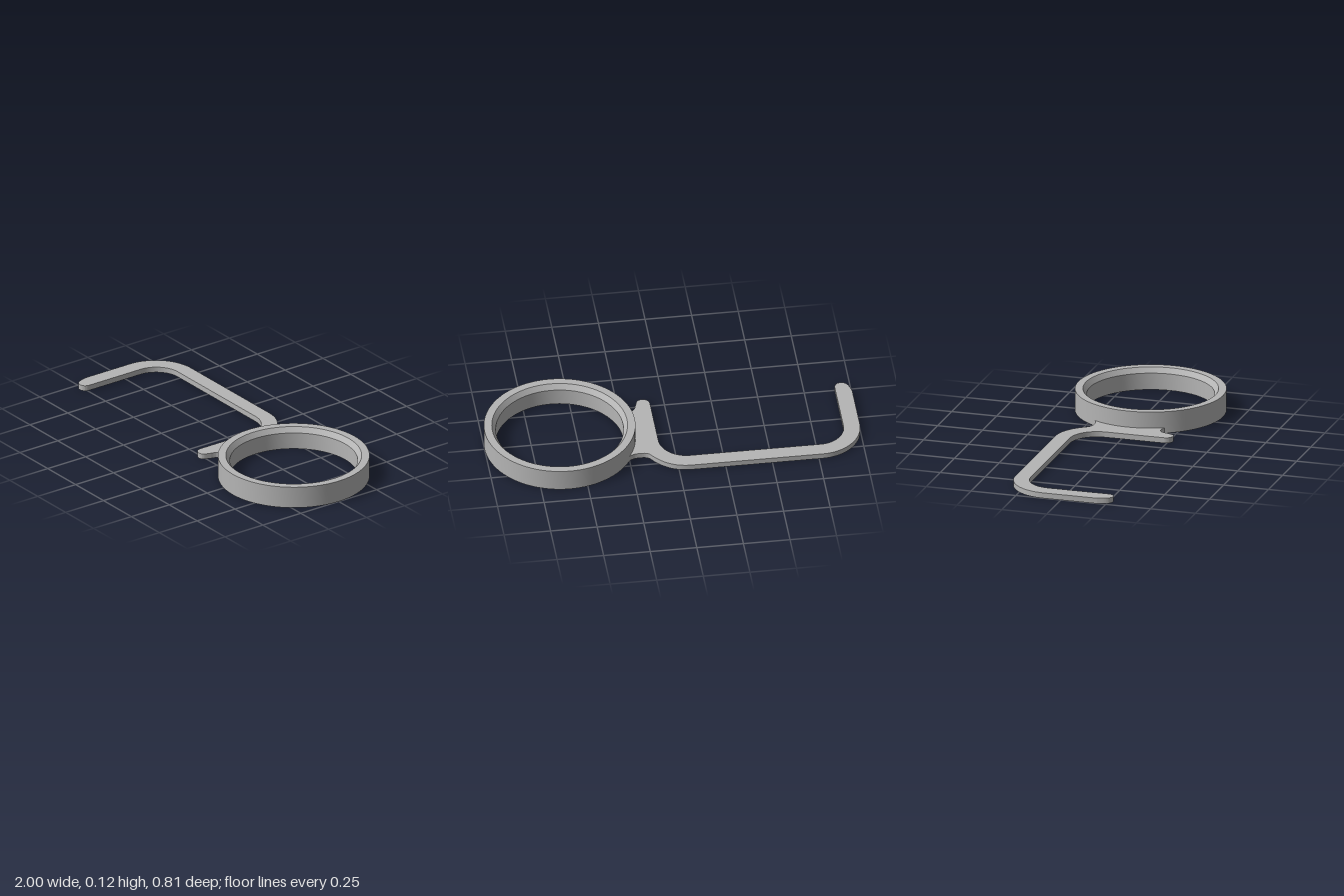
import * as THREE from 'three';
import { toCreasedNormals } from 'three/addons/utils/BufferGeometryUtils.js';

const RING_X = 0.597, RING_R = 0.403, RING_H = 0.12, PLATE_H = 0.03;

// Ring with a bevelled inner lip at the top
function ringGeometry() {
  const profile = [
    [RING_R, 0], [RING_R, RING_H], [0.361, RING_H], [0.34, 0.092], [0.34, 0], [RING_R, 0],
  ].map(([r, y]) => new THREE.Vector2(r, y));
  return toCreasedNormals(new THREE.LatheGeometry(profile, 96), 0.4);
}

// Flat bent arm: outline drawn with y pointing to the back
function armGeometry() {
  const s = new THREE.Shape();
  s.moveTo(-1, -0.2);
  s.lineTo(-1, 0.095);
  s.absarc(-0.77, 0.095, 0.23, Math.PI, Math.PI / 2, true);
  s.lineTo(-0.07, 0.325);
  // shoulder, then fillet into the ring
  s.bezierCurveTo(0.03, 0.325, 0.09, 0.275, 0.135, 0.21);
  s.bezierCurveTo(0.15, 0.185, 0.18, 0.188, 0.2, 0.188);
  s.quadraticCurveTo(0.23, 0.188, 0.25, 0.205);
  // edge hidden inside the ring wall
  const a = Math.asin(0.2 / 0.385);
  s.absarc(RING_X, 0, 0.385, Math.PI - a, Math.PI + a, false);
  // lower fillet and short finger
  s.quadraticCurveTo(0.23, -0.18, 0.205, -0.18);
  s.bezierCurveTo(0.17, -0.18, 0.165, -0.205, 0.16, -0.225);
  s.bezierCurveTo(0.15, -0.25, 0.15, -0.275, 0.12, -0.275);
  s.bezierCurveTo(0.09, -0.275, 0.08, -0.25, 0.08, -0.235);
  s.lineTo(0.08, 0.09);
  s.absarc(-0.07, 0.09, 0.15, 0, Math.PI / 2, false);
  s.lineTo(-0.77, 0.24);
  s.absarc(-0.77, 0.098, 0.142, Math.PI / 2, Math.PI, false);
  // rounded tip of the long finger
  s.lineTo(-0.912, -0.235);
  s.bezierCurveTo(-0.912, -0.26, -0.925, -0.275, -0.947, -0.275);
  s.bezierCurveTo(-0.985, -0.275, -0.99, -0.235, -1, -0.2);

  const geo = new THREE.ExtrudeGeometry(s, { depth: PLATE_H, bevelEnabled: false, curveSegments: 20 });
  geo.rotateX(-Math.PI / 2);
  return toCreasedNormals(geo, 0.5);
}

export function createModel() {
  const grey = new THREE.MeshStandardMaterial({ color: 0xb5b5b5 });
  grey.name = 'grey';
  const model = new THREE.Group();
  model.name = 'ringHolder';

  const ring = new THREE.Mesh(ringGeometry(), grey);
  ring.name = 'ring';
  ring.position.x = RING_X;

  const arm = new THREE.Mesh(armGeometry(), grey);
  arm.name = 'bentArm';

  model.add(ring, arm);
  return model;
}
